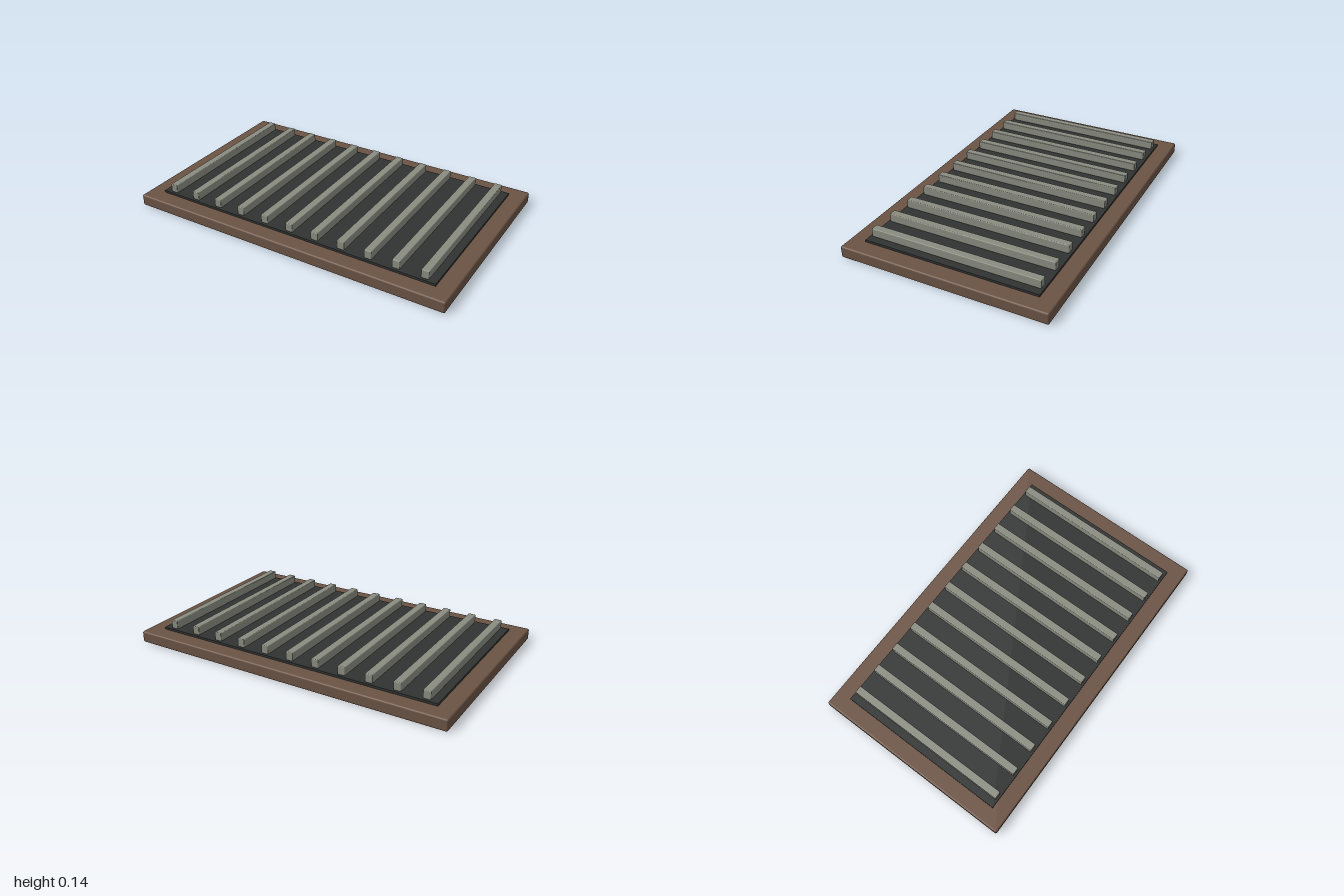
import * as THREE from 'three';
import { RoundedBoxGeometry } from 'three/addons/geometries/RoundedBoxGeometry.js';

const wood = new THREE.MeshStandardMaterial({ color: 0x6b5344 });
const dark = new THREE.MeshStandardMaterial({ color: 0x303332 });
const metal = new THREE.MeshStandardMaterial({ color: 0x8a8c80 });

const BASE_TOP = 0.07, PLATE_TOP = 0.083, BAR_TOP = 0.135;
const BAR_COUNT = 11, BAR_STEP = 0.167;

// Adds a mesh spanning the heights bottom..top
function addPart(parent, name, geometry, material, bottom, top, x = 0) {
  const mesh = new THREE.Mesh(geometry, material);
  mesh.name = name;
  mesh.position.set(x, (bottom + top) / 2, 0);
  parent.add(mesh);
}

export function createModel() {
  const model = new THREE.Group();
  model.name = 'slattedGrate';

  // Wooden base board with softened edges
  addPart(model, 'baseBoard', new RoundedBoxGeometry(2, BASE_TOP, 1.245, 3, 0.01), wood, 0, BASE_TOP);

  // Thin dark plate, sunk slightly into the board
  const plateBottom = BASE_TOP - 0.01;
  addPart(model, 'darkPlate', new THREE.BoxGeometry(1.805, PLATE_TOP - plateBottom, 1.052), dark, plateBottom, PLATE_TOP);

  // Evenly spaced bars running front to back
  const bars = new THREE.Group();
  bars.name = 'bars';
  model.add(bars);
  const barGeometry = new RoundedBoxGeometry(0.046, BAR_TOP - PLATE_TOP, 1.026, 2, 0.005);
  for (let i = 0; i < BAR_COUNT; i++) {
    const x = (i - (BAR_COUNT - 1) / 2) * BAR_STEP;
    addPart(bars, `bar${i + 1}`, barGeometry, metal, PLATE_TOP, BAR_TOP, x);
  }
  return model;
}
